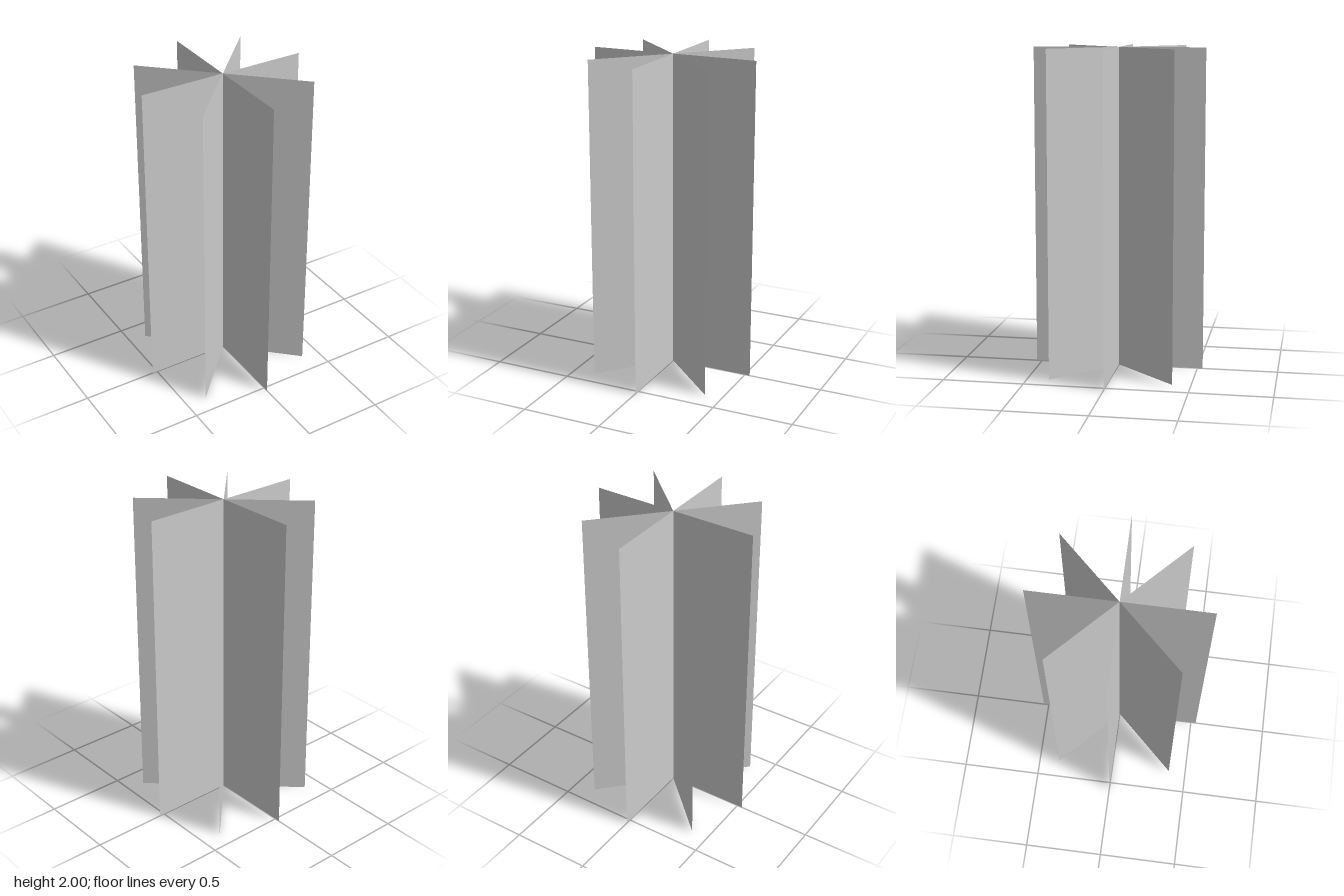
import * as THREE from 'three';

const WIDTH = 1.066;
const HEIGHT = 2;

export function createModel() {
  const model = new THREE.Group();
  model.name = 'crossedPanels';

  const material = new THREE.MeshStandardMaterial({ color: 0xcccccc, side: THREE.DoubleSide });
  const geometry = new THREE.PlaneGeometry(WIDTH, HEIGHT);

  // Upright sheet through the central axis, turned about y
  const addPanel = (name, degrees) => {
    const panel = new THREE.Mesh(geometry, material);
    panel.name = name;
    panel.position.y = HEIGHT / 2;
    panel.rotation.y = THREE.MathUtils.degToRad(degrees);
    model.add(panel);
  };

  // Square cross, then a diagonal cross slightly off 45 degrees
  addPanel('widthPanel', 0);
  addPanel('depthPanel', 90);
  addPanel('diagonalPanelA', -43.4);
  addPanel('diagonalPanelB', 46.6);

  return model;
}
